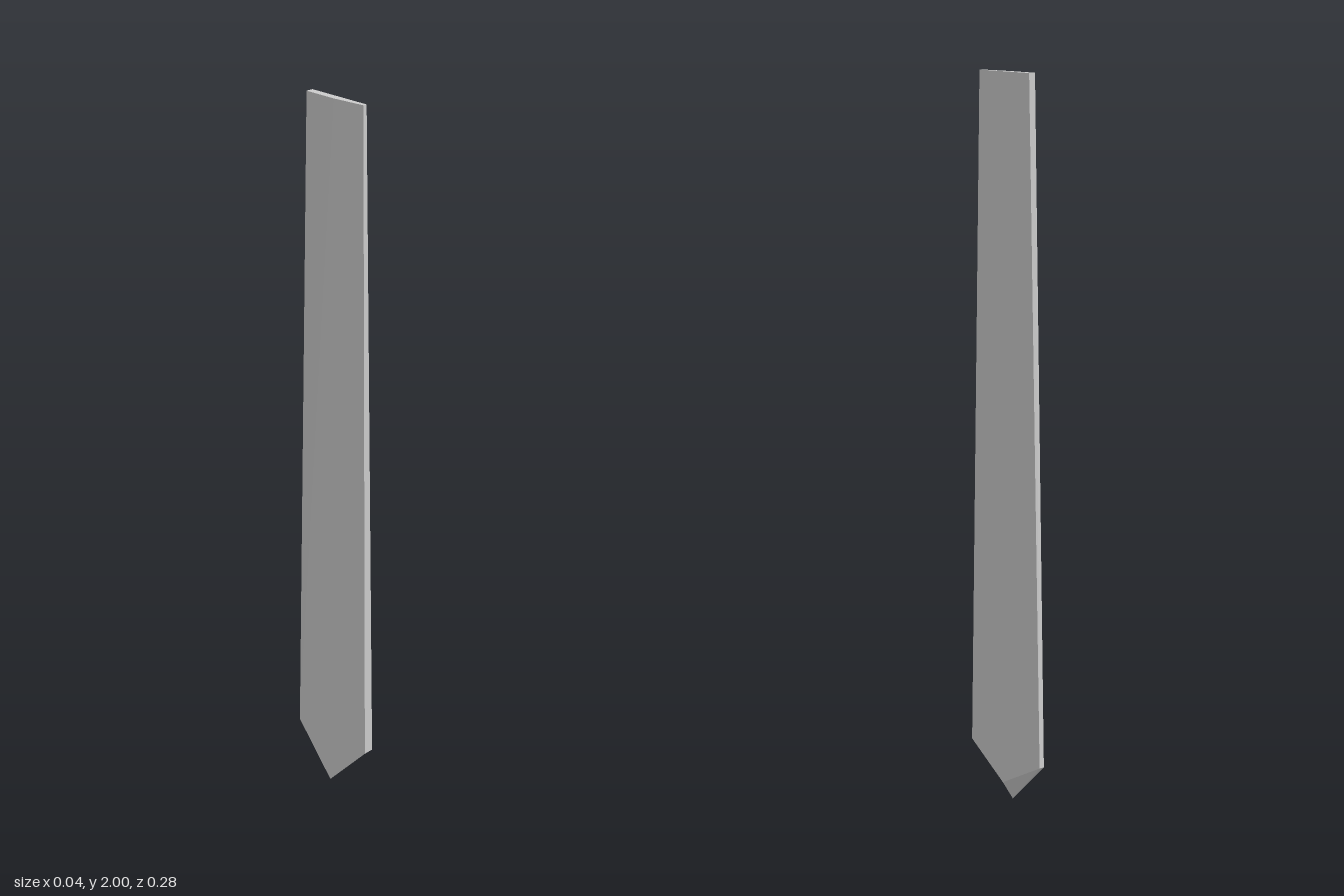
import * as THREE from 'three';

// Builds a faceted solid from four-cornered sections ordered back to front.
function loftSections(sections) {
  const positions = [];
  const quad = (a, b, c, d) => positions.push(...a, ...b, ...c, ...a, ...c, ...d);

  for (let i = 0; i < sections.length - 1; i++) {
    const back = sections[i];
    const front = sections[i + 1];
    for (let k = 0; k < 4; k++) {
      const n = (k + 1) % 4;
      quad(front[k], back[k], back[n], front[n]);
    }
  }
  quad(...sections[sections.length - 1]); // front edge
  quad(...[...sections[0]].reverse()); // back edge

  const geometry = new THREE.BufferGeometry();
  geometry.setAttribute('position', new THREE.Float32BufferAttribute(positions, 3));
  geometry.computeVertexNormals();
  return geometry;
}

export function createModel() {
  const group = new THREE.Group();
  group.name = 'taperedBlade';

  // Each section: top left, top right, bottom right, bottom left (model's own sides).
  const sections = [
    // back edge
    [[0.013, 2, -0.086], [-0.007, 2, -0.086], [-0.012, 0.14, -0.125], [0.017, 0.15, -0.139]],
    // central ridge, running down to the bevelled point
    [[0.013, 2, 0.01], [-0.007, 2, 0.01], [-0.019, 0, 0.008], [0.017, 0.06, 0.01]],
    // front edge
    [[0.013, 2, 0.101], [0.002, 2, 0.101], [-0.012, 0.15, 0.139], [0.017, 0.15, 0.139]],
  ];

  const material = new THREE.MeshStandardMaterial({ color: 0xcccccc, flatShading: true });
  const blade = new THREE.Mesh(loftSections(sections), material);
  blade.name = 'blade';
  group.add(blade);
  return group;
}
